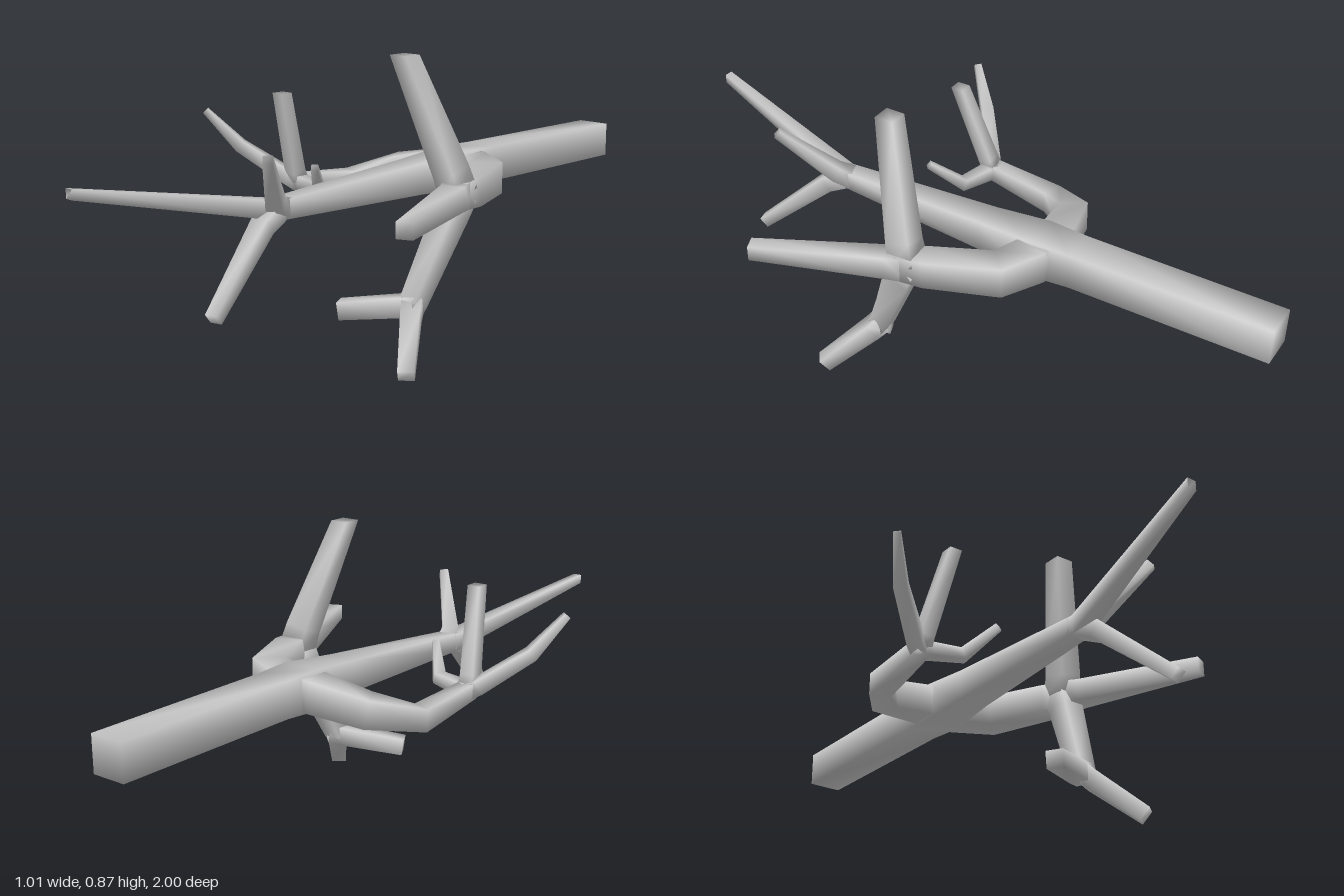
import * as THREE from 'three';

const material = new THREE.MeshStandardMaterial({ color: 0xcccccc });

// Square-section limb with smooth normals, swept through points [x, y, z, width].
function limb(name, points) {
  const p = points.map(([x, y, z]) => new THREE.Vector3(x, y, z));
  const last = p.length - 1;
  const dir = (i) => p[i + 1].clone().sub(p[i]).normalize();
  const positions = [];
  const indices = [];
  // one reference direction for the whole limb keeps it from twisting
  const overall = p[last].clone().sub(p[0]).normalize();
  const ref = Math.abs(overall.y) > 0.8 ? new THREE.Vector3(0, 0, 1) : new THREE.Vector3(0, 1, 0);

  for (let i = 0; i <= last; i++) {
    let t = dir(Math.min(i, last - 1));
    if (i > 0 && i < last) t = t.add(dir(i - 1)).normalize();
    // tips that nearly follow an axis are cut square to it
    if (i === last) {
      const snapped = t.clone().toArray().map((v) => (Math.abs(v) > 0.925 ? Math.sign(v) : 0));
      if (snapped.some((v) => v !== 0)) t.fromArray(snapped);
    }
    const u = new THREE.Vector3().crossVectors(ref, t).normalize();
    const v = new THREE.Vector3().crossVectors(t, u);
    const h = points[i][3] / 2;
    for (const [a, b] of [[-1, -1], [1, -1], [1, 1], [-1, 1]]) {
      const c = p[i].clone().addScaledVector(u, a * h).addScaledVector(v, b * h);
      positions.push(c.x, c.y, c.z);
    }
  }
  for (let i = 0; i < last; i++) {
    for (let k = 0; k < 4; k++) {
      const a = i * 4 + k, b = i * 4 + ((k + 1) % 4);
      indices.push(a, b, b + 4, a, b + 4, a + 4);
    }
  }
  const e = last * 4;
  indices.push(0, 2, 1, 0, 3, 2, e, e + 1, e + 2, e, e + 2, e + 3);

  const geometry = new THREE.BufferGeometry();
  geometry.setAttribute('position', new THREE.Float32BufferAttribute(positions, 3));
  geometry.setIndex(indices);
  geometry.computeVertexNormals();
  const mesh = new THREE.Mesh(geometry, material);
  mesh.name = name;
  return mesh;
}

function cluster(name, limbs) {
  const group = new THREE.Group();
  group.name = name;
  for (const [part, points] of Object.entries(limbs)) group.add(limb(part, points));
  return group;
}

export function createModel() {
  const model = new THREE.Group();
  model.name = 'branch';

  // Main stem and the fork at its front end
  const fork = [0.005, 0.455, 0.43, 0.055];
  model.add(cluster('mainStem', {
    stem: [[0.037, 0.477, -1, 0.108], [0.037, 0.477, -0.4, 0.11], [0.037, 0.475, -0.28, 0.12],
      [0.03, 0.472, -0.1, 0.095], fork, [-0.12, 0.568, 1, 0.028]],
    upperTwig: [[0.005, 0.455, 0.4, 0.055], [0.03, 0.475, 0.45, 0.05], [0.146, 0.633, 0.575, 0.026]],
    lowerTwig: [[0.005, 0.46, 0.41, 0.055], [0.02, 0.42, 0.49, 0.052], [0.082, 0.22, 0.715, 0.036]],
  }));

  // Left side: arm, then three boughs, the lower one forking again
  const leftJoint = [0.295, 0.475, 0, 0.08];
  const lowFork = [0.25, 0.175, 0.135, 0.058];
  model.add(cluster('leftBranch', {
    arm: [[0.03, 0.475, -0.29, 0.11], [0.1, 0.475, -0.285, 0.1], [0.2, 0.472, -0.235, 0.095],
      [0.285, 0.475, -0.05, 0.085], [0.305, 0.475, 0.02, 0.075]],
    sideBough: [leftJoint, [0.325, 0.475, 0.06, 0.07], [0.483, 0.475, 0.418, 0.046]],
    upperBough: [leftJoint, [0.285, 0.54, 0.02, 0.076], [0.197, 0.87, 0.118, 0.058]],
    lowerBough: [leftJoint, [0.29, 0.42, 0.025, 0.075], lowFork, [0.25, 0.15, 0.15, 0.052]],
    innerTwig: [[0.265, 0.17, 0.13, 0.058], [0.23, 0.165, 0.145, 0.058], [0.06, 0.138, 0.24, 0.052]],
    outerTwig: [lowFork, [0.265, 0.145, 0.16, 0.056], [0.36, 0.022, 0.28, 0.046]],
  }));

  // Right side: drooping arm, then three thin twigs
  const rightJoint = [-0.29, 0.437, 0.08, 0.048];
  model.add(cluster('rightBranch', {
    arm: [[0.05, 0.475, -0.29, 0.11], [-0.04, 0.472, -0.295, 0.095], [-0.19, 0.446, -0.262, 0.085],
      [-0.28, 0.41, -0.14, 0.066], rightJoint, [-0.29, 0.438, 0.1, 0.042]],
    upperTwig: [rightJoint, [-0.287, 0.475, 0.095, 0.045], [-0.25, 0.725, 0.175, 0.04]],
    outerTwig: [rightJoint, [-0.315, 0.45, 0.095, 0.045], [-0.43, 0.545, 0.19, 0.038],
      [-0.498, 0.655, 0.268, 0.02]],
    innerTwig: [rightJoint, [-0.26, 0.437, 0.087, 0.042], [-0.165, 0.442, 0.112, 0.036],
      [-0.095, 0.522, 0.19, 0.02]],
  }));

  return model;
}
